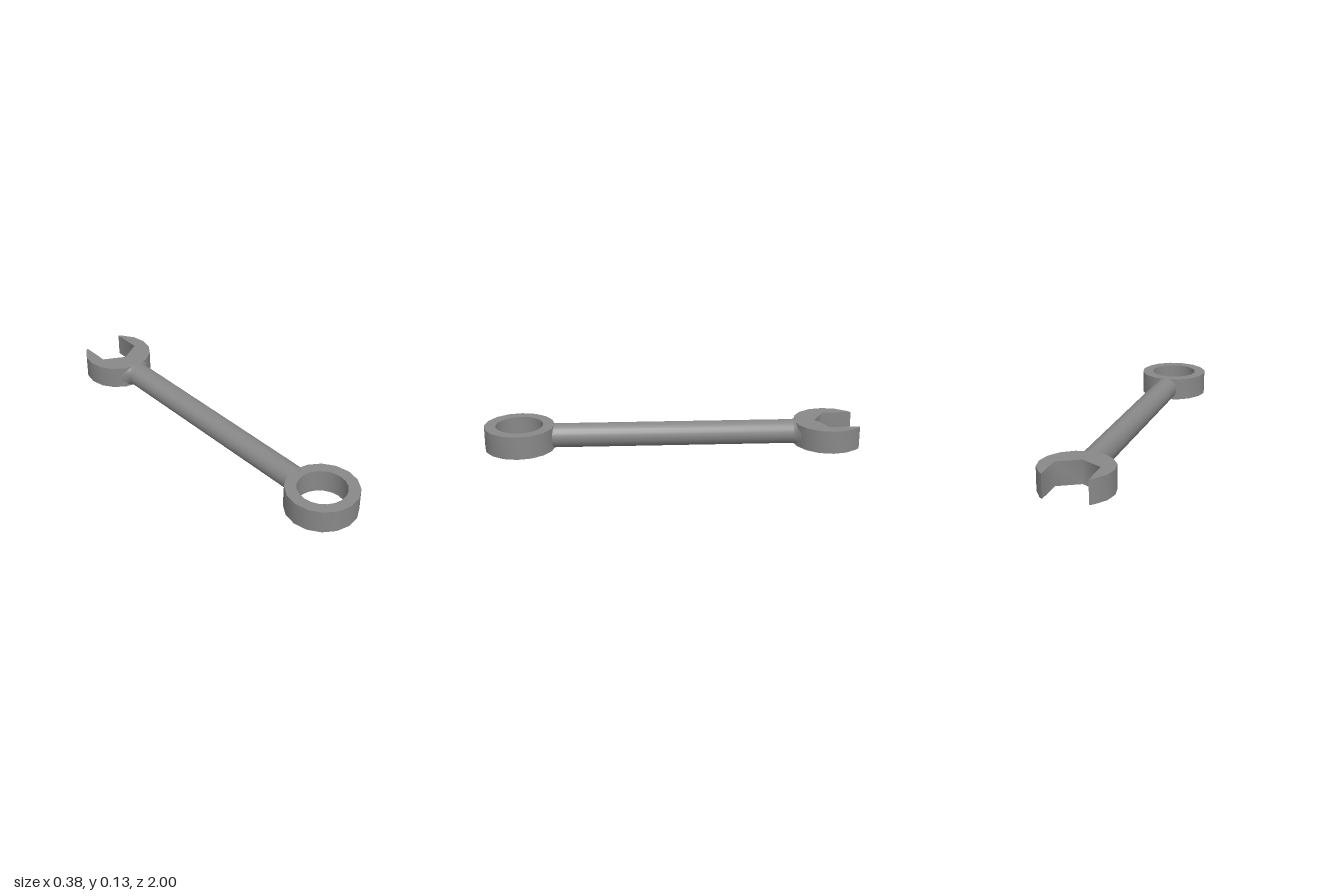
import * as THREE from 'three';
import { toCreasedNormals } from 'three/addons/utils/BufferGeometryUtils.js';

const SIDES = 16;
const HEAD_R = 0.188;
const HEAD_BOTTOM = 0.003, HEAD_TOP = 0.127;
const HANDLE_R = 0.065;

// Points of a circular arc in the ground plane (x, z)
function arc(radius, cz, from, to, steps) {
  return Array.from({ length: steps + 1 }, (_, i) => {
    const a = from + (to - from) * i / steps;
    return new THREE.Vector2(Math.cos(a) * radius, cz + Math.sin(a) * radius);
  });
}

// Extrudes an (x, z) outline to the thickness of a head
function headGeometry(shape) {
  const geo = new THREE.ExtrudeGeometry(shape, { depth: HEAD_TOP - HEAD_BOTTOM, bevelEnabled: false });
  geo.rotateX(Math.PI / 2).translate(0, HEAD_TOP, 0);
  return toCreasedNormals(geo, 1.2);
}

// Rod along z whose cross-sections [z, halfWidth, halfHeight, squareness] go from round (2) to boxy
function rodGeometry(sections) {
  const rows = sections.length - 1;
  const geo = new THREE.CylinderGeometry(1, 1, 1, 24, rows).rotateX(Math.PI / 2);
  const pos = geo.attributes.position;
  for (let i = 0; i < pos.count; i++) {
    const [z, w, h, n] = sections[Math.round((0.5 - pos.getZ(i)) * rows)];
    const bend = (v) => Math.abs(v) < 1e-6 ? 0 : Math.sign(v) * Math.abs(v) ** (2 / n);
    pos.setXYZ(i, w * bend(pos.getX(i)), HANDLE_R + h * bend(pos.getY(i)), z);
  }
  return toCreasedNormals(geo, 0.9);
}

export function createModel() {
  const model = new THREE.Group();
  model.name = 'wrench';
  const material = new THREE.MeshStandardMaterial({ color: 0x888888 });
  const add = (name, geometry) => {
    const mesh = new THREE.Mesh(geometry, material);
    mesh.name = name;
    model.add(mesh);
  };

  // Closed ring end at the front
  const ringZ = 1 - HEAD_R;
  const ring = new THREE.Shape(arc(HEAD_R, ringZ, 0, Math.PI * 2, SIDES).slice(0, -1));
  ring.holes.push(new THREE.Path(arc(0.127, ringZ, Math.PI * 2, 0, 20).slice(0, -1)));
  add('ringEnd', headGeometry(ring));

  // Open jaw at the back: round outside, V-bottomed slot inside
  const jawZ = -0.85, slot = 0.114;
  const step = Math.PI * 2 / SIDES;
  const jaw = new THREE.Shape([
    new THREE.Vector2(slot, -1),
    ...arc(HEAD_R, jawZ, -2 * step, Math.PI + 2 * step, 12),
    new THREE.Vector2(-slot, -1),
    new THREE.Vector2(-slot, -0.84),
    new THREE.Vector2(0, -0.777),
    new THREE.Vector2(slot, -0.84),
  ]);
  add('openJaw', headGeometry(jaw));

  // Round handle, its neck flaring and flattening into the jaw
  add('handle', rodGeometry([
    [0.65, 0.065, HANDLE_R, 2],
    [-0.65, 0.065, HANDLE_R, 2],
    [-0.665, 0.069, HANDLE_R, 2.4],
    [-0.68, 0.082, 0.0645, 3],
    [-0.7, 0.105, 0.0635, 4],
    [-0.72, 0.12, 0.0615, 5],
  ]));

  return model;
}
